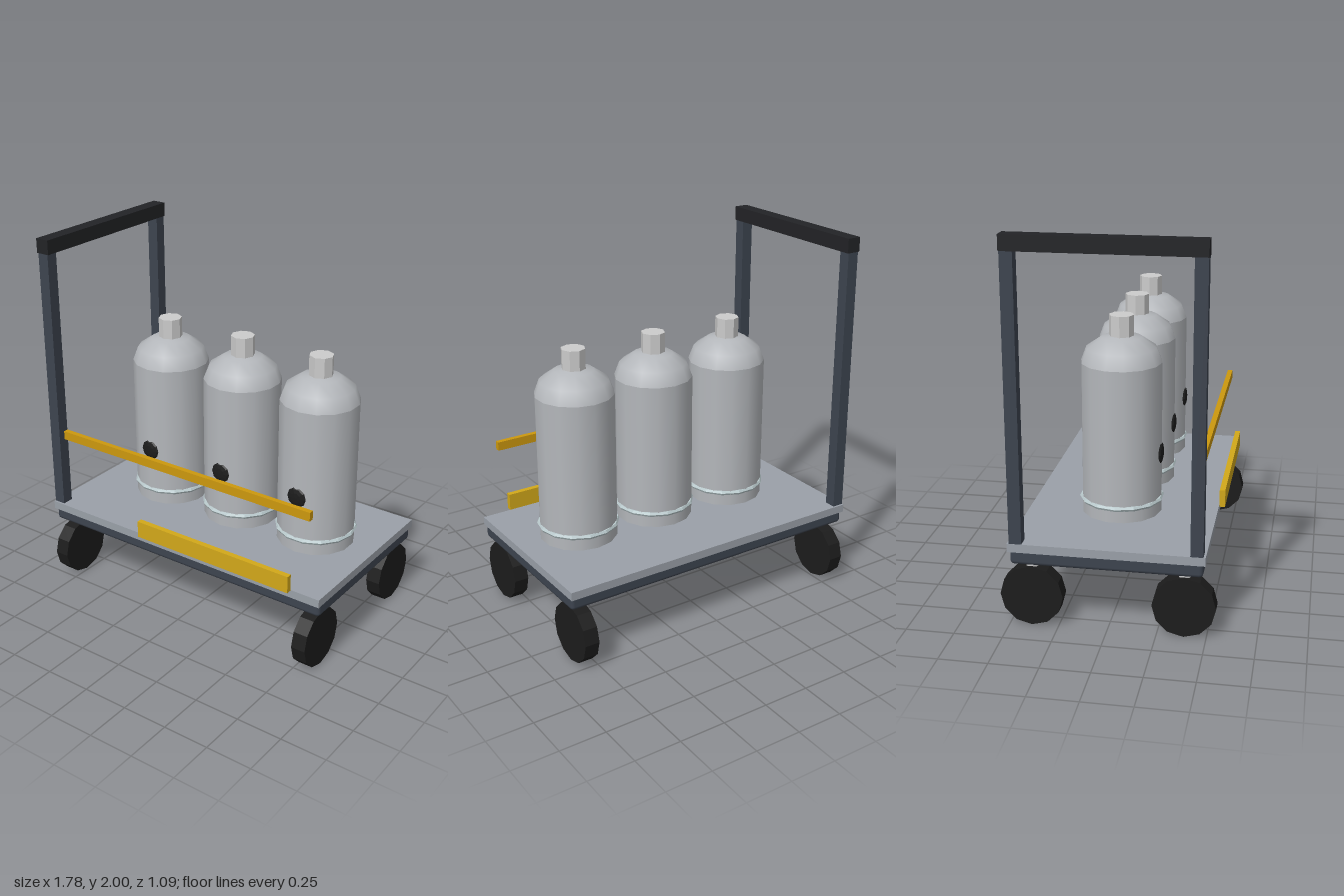
import * as THREE from 'three';
import { RoundedBoxGeometry } from 'three/addons/geometries/RoundedBoxGeometry.js';

const paint = (color, flatShading = false) =>
  new THREE.MeshStandardMaterial({ color, flatShading });

const steel = paint(0x3d444f);
const deckGrey = paint(0x9aa0a8);
const rubber = paint(0x1c1c1c, true);
const grip = paint(0x222326);
const gold = paint(0xcc980e);
const brightGold = paint(0xd2a81a);
const tankGrey = paint(0xb4b7bb);
const metal = paint(0xcccccc, true);
const ringMetal = paint(0xbccccf, true);

function add(parent, name, geometry, material, x = 0, y = 0, z = 0) {
  const mesh = new THREE.Mesh(geometry, material);
  mesh.name = name;
  mesh.position.set(x, y, z);
  parent.add(mesh);
  return mesh;
}

const box = (w, h, d) => new THREE.BoxGeometry(w, h, d);

// Gas bottle: straight body, squashed dome, neck, foot ring and front knob
function createBottle() {
  const bottle = new THREE.Group();
  const r = 0.209, sides = 14, bottom = 0.486, shoulder = 1.287;
  add(bottle, 'bottleBody', new THREE.CylinderGeometry(r, r, shoulder - bottom, sides),
    tankGrey, 0, (shoulder + bottom) / 2);

  const dome = [];
  for (let i = 0; i <= 3; i++) {
    const a = (i * Math.PI) / 6;
    dome.push(new THREE.Vector2(i === 3 ? 0 : r * Math.cos(a), 0.146 * Math.sin(a)));
  }
  add(bottle, 'bottleDome', new THREE.LatheGeometry(dome, sides), tankGrey, 0, shoulder);

  add(bottle, 'bottleNeck', new THREE.CylinderGeometry(0.064, 0.064, 0.125, 8), metal, 0, 1.466);

  const ring = new THREE.TorusGeometry(0.206, 0.014, 6, sides).rotateX(Math.PI / 2);
  add(bottle, 'footRing', ring, ringMetal, 0, 0.561);

  const knob = new THREE.SphereGeometry(0.056, 10, 6).rotateX(Math.PI / 2).scale(1, 1, 0.25);
  add(bottle, 'knob', knob, rubber, 0, 0.806, 0.204);
  return bottle;
}

export function createModel() {
  const cart = new THREE.Group();
  cart.name = 'bottleCart';

  // Platform
  add(cart, 'chassis', new RoundedBoxGeometry(1.76, 0.1, 0.966, 2, 0.02), steel, 0, 0.395);
  add(cart, 'deck', box(1.77, 0.045, 0.99), deckGrey, 0, 0.436);

  // Casters
  const wheel = new THREE.CylinderGeometry(0.161, 0.161, 0.08, 12).rotateZ(Math.PI / 2);
  const stem = new THREE.CylinderGeometry(0.032, 0.032, 0.12, 10);
  for (const x of [-0.803, 0.803]) {
    for (const z of [-0.386, 0.386]) {
      add(cart, 'wheel', wheel, rubber, x, 0.162, z);
      add(cart, 'casterStem', stem, metal, x, 0.29, z);
    }
  }

  // Push handle
  for (const z of [-0.452, 0.452]) {
    add(cart, 'handlePost', box(0.064, 1.5, 0.064), steel, -0.852, 1.19, z);
  }
  add(cart, 'handleBar', box(0.078, 0.078, 0.972), grip, -0.852, 1.961);

  // Retaining rail and front kick strip
  add(cart, 'retainingRail', box(1.602, 0.048, 0.028), gold, -0.002, 0.886, 0.45);
  add(cart, 'kickStrip', box(0.96, 0.094, 0.03), brightGold, 0.24, 0.503, 0.512);

  // Row of three bottles
  for (let i = 0; i < 3; i++) {
    const bottle = createBottle();
    bottle.name = 'gasBottle';
    bottle.position.x = -0.402 + i * 0.481;
    cart.add(bottle);
  }
  return cart;
}
